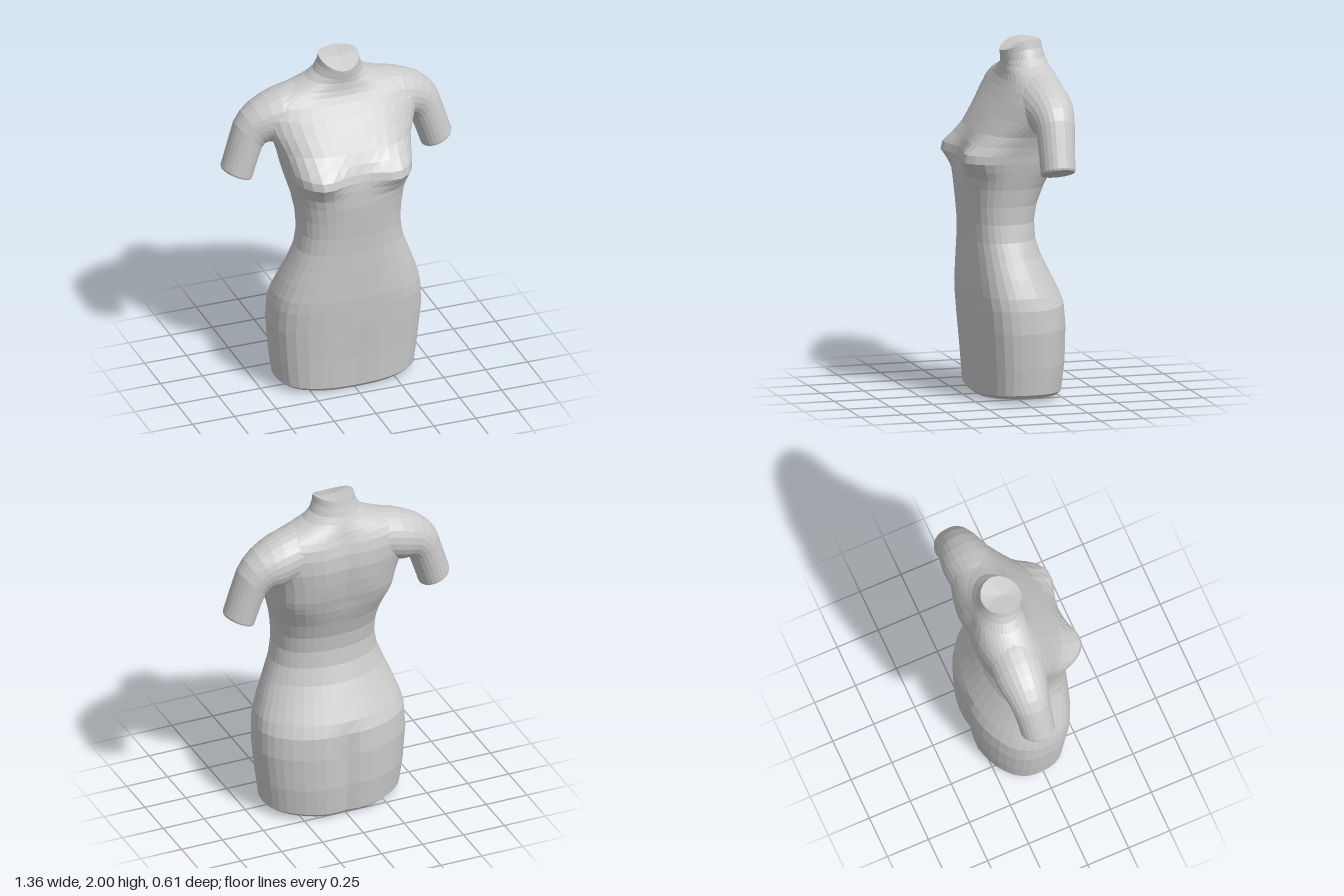
import * as THREE from 'three';

const material = new THREE.MeshStandardMaterial({ color: 0xcccccc, flatShading: true });
const bell = (d, width) => Math.exp(-((d / width) ** 2));
const { clamp, smoothstep } = THREE.MathUtils;

// Skin a list of closed rings (arrays of Vector3) and close both ends with a fan.
function loft(name, rings) {
  const n = rings[0].length, pos = [], index = [];
  rings.forEach(r => r.forEach(p => pos.push(p.x, p.y, p.z)));
  for (let i = 0; i < rings.length - 1; i++) {
    for (let j = 0; j < n; j++) {
      const a = i * n + j, b = i * n + (j + 1) % n;
      index.push(a, a + n, b, b, a + n, b + n);
    }
  }
  for (const end of [0, rings.length - 1]) {
    const c = new THREE.Vector3();
    rings[end].forEach(p => c.addScaledVector(p, 1 / n));
    const centre = pos.length / 3;
    pos.push(c.x, c.y, c.z);
    for (let j = 0; j < n; j++) {
      const a = end * n + j, b = end * n + (j + 1) % n;
      if (end === 0) index.push(centre, a, b);
      else index.push(centre, b, a);
    }
  }
  const geometry = new THREE.BufferGeometry();
  geometry.setAttribute('position', new THREE.Float32BufferAttribute(pos, 3));
  geometry.setIndex(index);
  geometry.computeVertexNormals();
  const mesh = new THREE.Mesh(geometry, material);
  mesh.name = name;
  return mesh;
}

// Torso sections: height, half width, front z, back z, squareness (2 = ellipse)
const TORSO = [
  [0.0, 0.38, 0.18, -0.275, 2.8],
  [0.02, 0.405, 0.197, -0.295, 2.8],
  [0.2, 0.425, 0.208, -0.314, 2.8],
  [0.4, 0.443, 0.224, -0.318, 2.8],
  [0.53, 0.438, 0.236, -0.308, 2.8],
  [0.6, 0.425, 0.242, -0.282, 2.7],
  [0.7, 0.39, 0.245, -0.232, 2.6],
  [0.8, 0.35, 0.248, -0.182, 2.5],
  [0.9, 0.312, 0.25, -0.148, 2.5],
  [1.0, 0.296, 0.256, -0.14, 2.5],
  [1.1, 0.3, 0.266, -0.155, 2.5],
  [1.2, 0.315, 0.275, -0.19, 2.6],
  [1.26, 0.33, 0.275, -0.215, 2.8],
  [1.31, 0.342, 0.273, -0.234, 3.1],
  [1.355, 0.352, 0.268, -0.248, 3.3],
  [1.4, 0.36, 0.257, -0.264, 3.2],
  [1.45, 0.372, 0.237, -0.277, 2.9],
  [1.51, 0.392, 0.205, -0.29, 2.6],
  [1.6, 0.44, 0.15, -0.303, 2.3],
  [1.69, 0.475, 0.092, -0.3, 2.2],
  [1.75, 0.455, 0.055, -0.287, 2.2],
  [1.79, 0.4, 0.034, -0.272, 2.1],
  [1.82, 0.32, 0.025, -0.26, 2],
  [1.845, 0.245, 0.022, -0.248, 2],
  [1.87, 0.188, 0.02, -0.237, 2],
  [1.91, 0.143, 0.023, -0.222, 2],
  [1.96, 0.122, 0.028, -0.208, 2],
  [2.0, 0.115, 0.03, -0.2, 2],
];

function torsoRing([y, halfWidth, front, back, square], segments = 40) {
  const mid = (front + back) / 2, depth = (front - back) / 2, ring = [];
  const tilt = clamp((y - 1.85) / 0.15, 0, 1);
  const hips = 1 - smoothstep(y, 0.6, 1.2);
  const cleft = 0.03 * (1 - smoothstep(y, 0.42, 0.62));
  const spine = 0.016 * smoothstep(y, 1.2, 1.5) * (1 - smoothstep(y, 1.75, 1.88));
  const crotch = 0.012 * (1 - smoothstep(y, 0.1, 0.4));
  for (let j = 0; j < segments; j++) {
    const a = (j / segments) * Math.PI * 2, c = Math.cos(a), s = Math.sin(a);
    // the hips are squarer in front and rounder behind
    const power = square + hips * (s > 0 ? 0.25 : -0.8);
    const r = (Math.abs(c) ** power + Math.abs(s) ** power) ** (-1 / power);
    const x = c * r * halfWidth;
    let z = mid + s * r * depth;
    if (s > 0.2) {
      // bust and the shallow dip between the thighs
      z += 0.068 * bell(Math.abs(x) - 0.235, 0.12) * bell(y - 1.378, 0.075);
      z -= crotch * bell(x, 0.08);
    } else if (s < -0.2) {
      // seat cleft and spine groove
      z += (cleft + spine) * bell(x, 0.07);
    }
    // neck rim falls to the front; hem rises to the sides
    const rise = y < 0.1 ? 0.07 * Math.abs(x) : 0;
    ring.push(new THREE.Vector3(x, y + rise - tilt * 2 * (z + 0.14) ** 2, z));
  }
  return ring;
}

// Arm sections: outer x, y, inner x, y, centre z, half depth
const ARM = [
  [0.2, 1.85, 0.25, 1.54, -0.12, 0.15],
  [0.28, 1.838, 0.32, 1.52, -0.122, 0.152],
  [0.36, 1.817, 0.37, 1.508, -0.125, 0.15],
  [0.43, 1.79, 0.397, 1.508, -0.129, 0.14],
  [0.5, 1.752, 0.415, 1.51, -0.132, 0.127],
  [0.558, 1.702, 0.432, 1.503, -0.134, 0.116],
  [0.6, 1.64, 0.447, 1.485, -0.134, 0.109],
  [0.625, 1.565, 0.461, 1.45, -0.131, 0.105],
  [0.652, 1.48, 0.482, 1.39, -0.128, 0.101],
  [0.682, 1.385, 0.508, 1.31, -0.125, 0.098],
  [0.681, 1.373, 0.512, 1.3, -0.125, 0.094],
];

function armRing([ox, oy, ix, iy, zc, depth], side, segments = 24) {
  return Array.from({ length: segments }, (_, j) => {
    const a = (j / segments) * Math.PI * 2, t = (1 + Math.cos(a)) / 2;
    return new THREE.Vector3(
      side * (ix + (ox - ix) * t), iy + (oy - iy) * t, zc - side * depth * Math.sin(a));
  });
}

export function createModel() {
  const model = new THREE.Group();
  model.name = 'dressForm';
  model.add(loft('torso', TORSO.map(row => torsoRing(row))));
  for (const [name, side] of [['leftArm', 1], ['rightArm', -1]]) {
    model.add(loft(name, ARM.map(row => armRing(row, side))));
  }
  return model;
}
